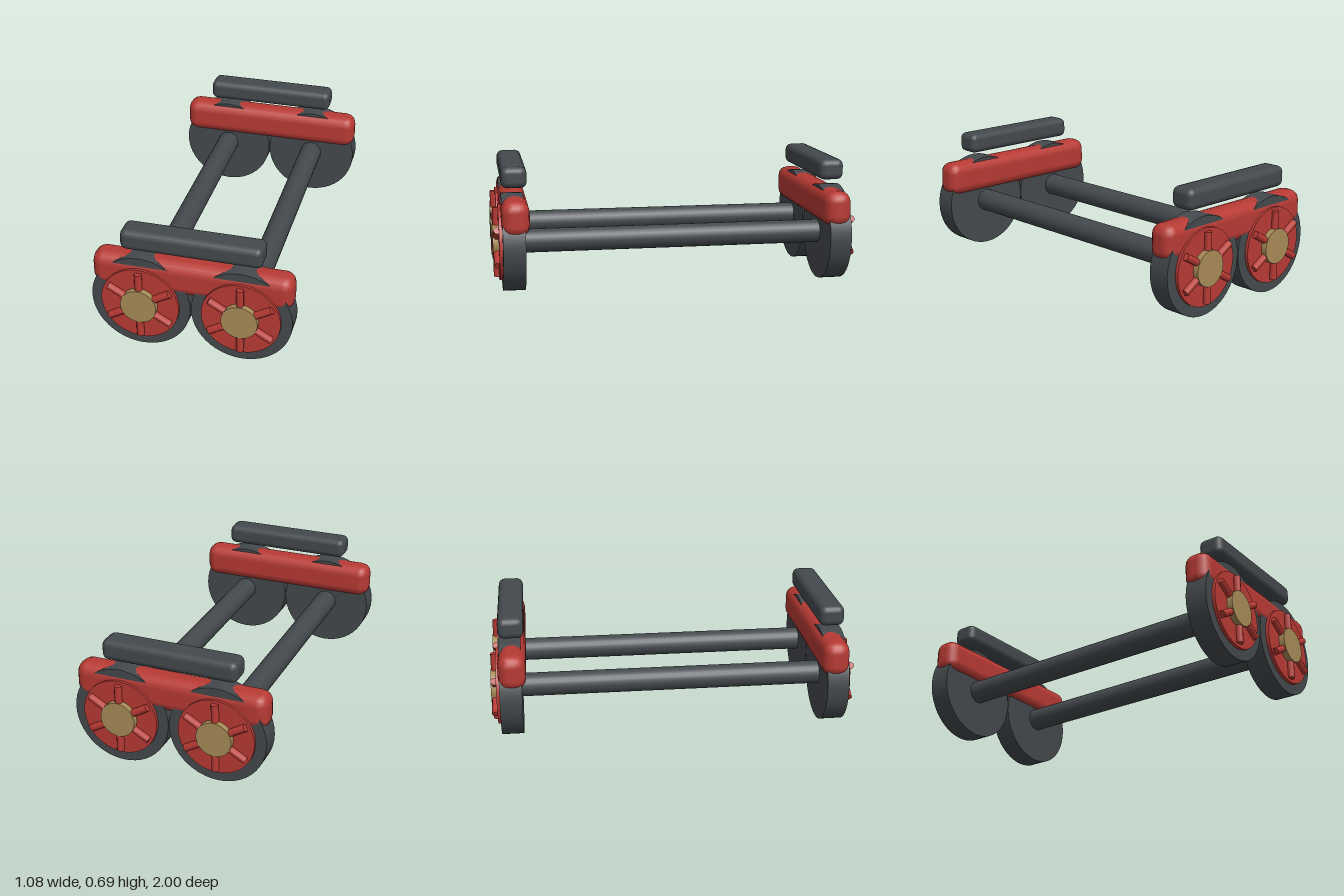
import * as THREE from 'three';
import { RoundedBoxGeometry } from 'three/addons/geometries/RoundedBoxGeometry.js';

const material = (name, color) => {
  const m = new THREE.MeshStandardMaterial({ color });
  m.name = name;
  return m;
};

export function createModel() {
  const iron = material('dark iron', 0x44494d);
  const red = material('red paint', 0xb83a34);
  const brass = material('brass', 0xa88b57);

  const add = (parent, name, geometry, mat, x, y, z) => {
    const mesh = new THREE.Mesh(geometry, mat);
    mesh.name = name;
    mesh.position.set(x, y, z);
    parent.add(mesh);
    return mesh;
  };
  // cylinder lying along z, from z0 to z1
  const disc = (parent, name, r, z0, z1, mat, sides = 48) =>
    add(parent, name, new THREE.CylinderGeometry(r, r, z1 - z0, sides).rotateX(Math.PI / 2),
      mat, 0, 0, (z0 + z1) / 2);

  const model = new THREE.Group();
  model.name = 'bogie';

  // the two sides are the same, turned half a circle
  for (const [name, turn] of [['frontSide', 0], ['backSide', Math.PI]]) {
    const side = new THREE.Group();
    side.name = name;
    side.rotation.y = turn;
    model.add(side);

    // side frame and the separate pad above it
    add(side, 'sideFrame', new RoundedBoxGeometry(1.07, 0.195, 0.15, 2, 0.06), red, 0, 0.4325, 0.88);
    add(side, 'topPad', new RoundedBoxGeometry(0.75, 0.115, 0.14, 2, 0.035), iron, 0, 0.6325, 0.88);

    for (const x of [-0.27, 0.27]) {
      const wheel = new THREE.Group();
      wheel.name = x < 0 ? 'rightWheel' : 'leftWheel';
      wheel.position.set(x, 0.27, 0);
      side.add(wheel);
      disc(wheel, 'tyre', 0.268, 0.83, 0.95, iron);
      disc(wheel, 'wheelFace', 0.21, 0.94, 0.968, red);
      disc(wheel, 'hub', 0.097, 0.94, 1, brass, 32);
      // six round spokes
      for (let i = 0; i < 6; i++) {
        const a = i * Math.PI / 3;
        const spoke = add(wheel, 'spoke', new THREE.CylinderGeometry(0.02, 0.02, 0.13, 10), red,
          -Math.sin(a) * 0.127, Math.cos(a) * 0.127, 0.977);
        spoke.rotation.z = a;
      }
    }
  }

  // axles joining the wheel pairs
  for (const x of [-0.27, 0.27]) {
    const axle = disc(model, 'axle', 0.065, -0.84, 0.84, iron, 24);
    axle.position.set(x, 0.27, 0);
  }
  return model;
}
